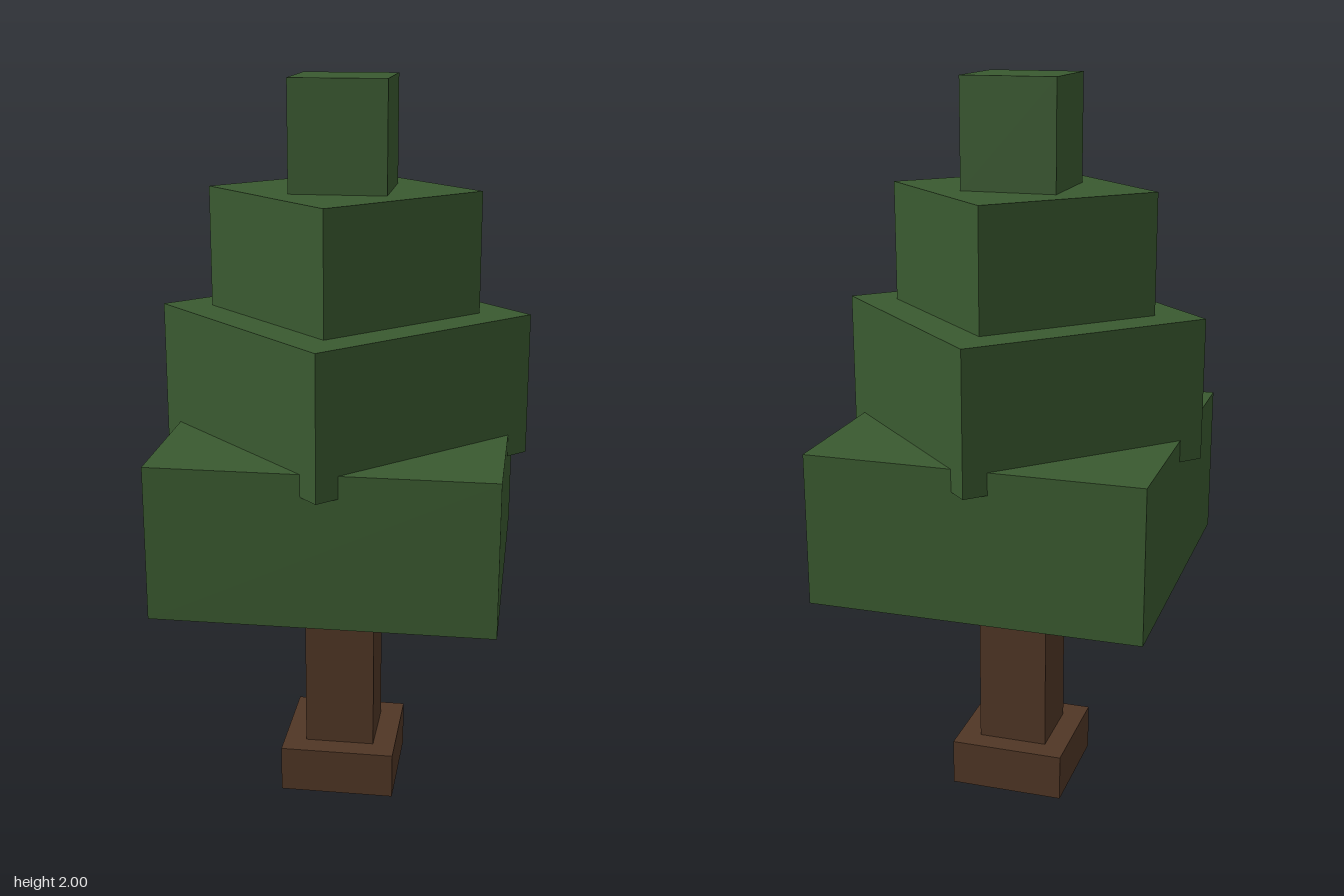
import * as THREE from 'three';

export function createModel() {
  const bark = new THREE.MeshStandardMaterial({ color: 0x503625 });
  bark.name = 'brown bark';
  const leaves = new THREE.MeshStandardMaterial({ color: 0x3a5a30 });
  leaves.name = 'dark green leaves';

  const tree = new THREE.Group();
  tree.name = 'tree';

  // Square block between two heights, optionally turned about y
  function block(name, material, width, bottom, top, turn = 0) {
    const mesh = new THREE.Mesh(new THREE.BoxGeometry(width, top - bottom, width), material);
    mesh.name = name;
    mesh.position.y = (bottom + top) / 2;
    mesh.rotation.y = turn;
    tree.add(mesh);
  }

  // Trunk
  block('trunkBase', bark, 0.32, 0, 0.13);
  block('trunk', bark, 0.195, 0.13, 0.65);

  // Foliage tiers, the middle two turned to a diamond
  block('lowerFoliage', leaves, 0.904, 0.65, 1.065);
  block('middleFoliage', leaves, Math.SQRT1_2, 1.005, 1.387, Math.PI / 4);
  block('upperFoliage', leaves, 0.515, 1.387, 1.71, Math.PI / 4);
  block('treetop', leaves, 0.257, 1.71, 2);

  return tree;
}
